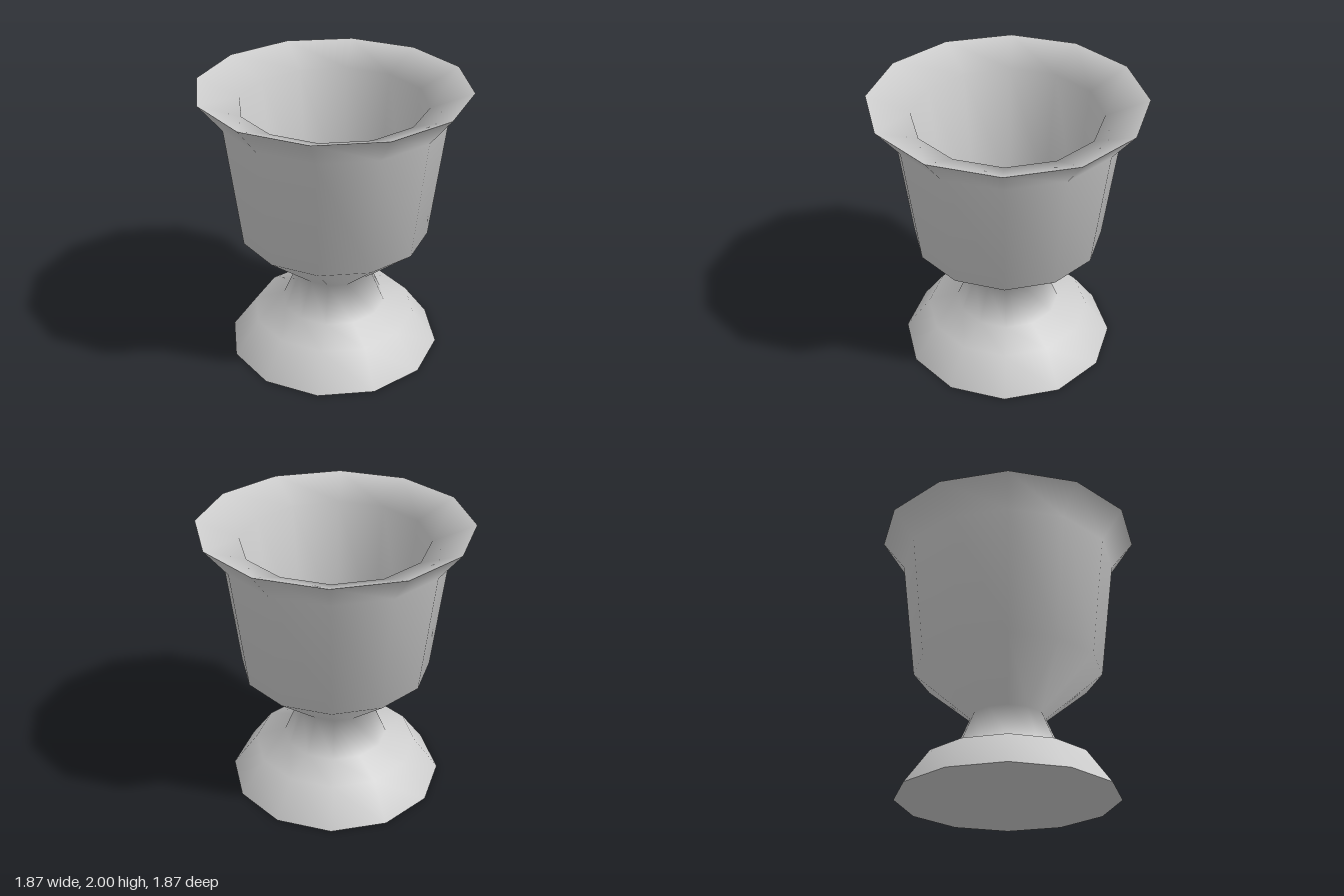
import * as THREE from 'three';

const SIDES = 12;
const material = new THREE.MeshStandardMaterial({ color: 0xcccccc });

export function createModel() {
  const group = new THREE.Group();
  group.name = 'gobletUrn';

  const add = (name, geometry) => {
    const mesh = new THREE.Mesh(geometry, material);
    mesh.name = name;
    group.add(mesh);
    return mesh;
  };
  // Turned surface from [radius, height] pairs; rising profiles face outward
  const turned = (name, profile) =>
    add(name, new THREE.LatheGeometry(profile.map(([r, y]) => new THREE.Vector2(r, y)), SIDES));
  // Flat disc facing up (1) or down (-1)
  const disc = (name, radius, y, facing) => {
    const geometry = new THREE.CircleGeometry(radius, SIDES);
    geometry.rotateX(-facing * Math.PI / 2);
    add(name, geometry).position.y = y;
  };

  // Spreading foot, narrow stem, bowl and flared rim in one smooth skin
  turned('outerBody', [
    [0.77, 0], [0.59, 0.25], [0.375, 0.325], [0.265, 0.585],
    [0.67, 0.925], [0.775, 1.8], [0.935, 2],
  ]);

  // Broad sloping lip and inside wall, running down from the rim
  turned('innerBowl', [[0.935, 2], [0.645, 1.88], [0.55, 0.95]]);

  disc('bowlFloor', 0.55, 0.95, 1);
  disc('footUnderside', 0.77, 0, -1);

  return group;
}
